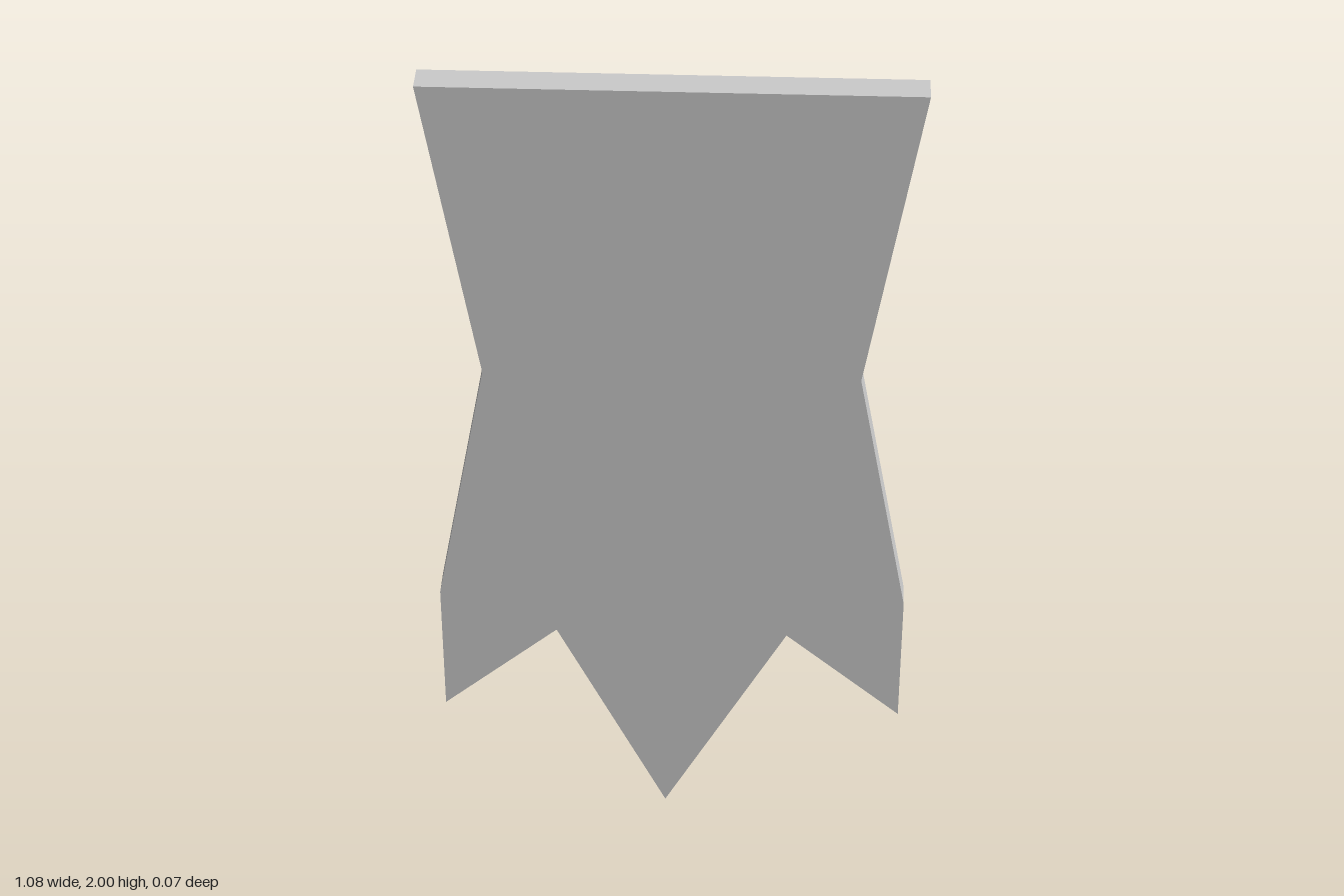
import * as THREE from 'three';

export function createModel() {
  const group = new THREE.Group();
  group.name = 'banner';
  const depth = 0.07;

  // Banner outline: waisted sides, three-pointed lower edge
  const side = [[0.27, 0.53], [0.54, 0.295], [0.54, 0.635], [0.42, 1.27], [0.54, 2]];
  const mirrored = side.map(([x, y]) => [-x, y]).reverse();
  const outline = [[-0.015, 0], ...side, ...mirrored];
  const shape = new THREE.Shape(outline.map(([x, y]) => new THREE.Vector2(x, y)));

  // Thin flat panel, centred in depth
  const geometry = new THREE.ExtrudeGeometry(shape, { depth, bevelEnabled: false });
  geometry.translate(0, 0, -depth / 2);
  const panel = new THREE.Mesh(geometry, new THREE.MeshStandardMaterial({ color: 0xcccccc }));
  panel.name = 'bannerPanel';
  group.add(panel);
  return group;
}
